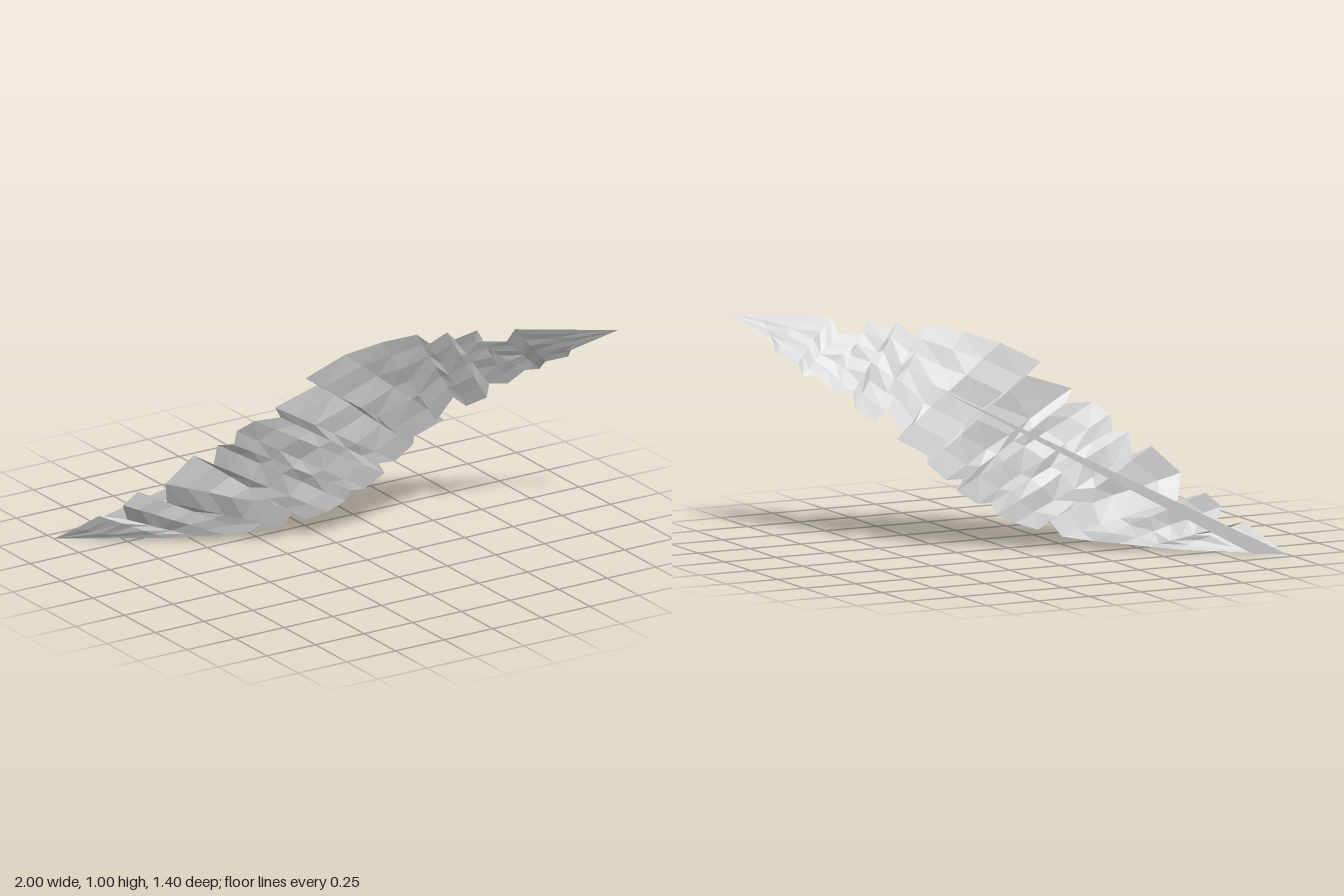
import * as THREE from 'three';

// Ragged vane edges, base to tip, as x, y, z
const UPPER = [
  [-1, 0, -.7], [-.94, .06, -.62], [-.87, .13, -.54], [-.75, .1, -.5], [-.8, .19, -.46], [-.74, .25, -.43],
  [-.65, .21, -.34], [-.69, .32, -.29], [-.57, .44, -.25], [-.5, .4, -.2], [-.5, .5, -.17], [-.44, .5, -.13],
  [-.44, .57, -.11], [-.38, .62, -.06], [-.26, .62, -.04], [-.3, .68, -.02], [-.09, .75, 0], [-.17, .8, .02],
  [0, .89, .07], [.15, .94, .14], [.28, .97, .21], [.34, .92, .22], [.39, .98, .28], [.43, .94, .28],
  [.5, .99, .35], [.5, .93, .33], [.62, .93, .4], [.63, 1, .45], [.75, 1, .53], [.88, 1, .62], [1, 1, .7],
];
const LOWER = [
  [-1, 0, -.7], [-.74, .007, -.52], [-.6, .01, -.42], [-.5, .02, -.35], [-.4, .03, -.28], [-.3, .04, -.22],
  [-.18, .06, -.16], [-.13, .14, -.12], [-.09, .09, -.11], [0, .12, -.07], [.08, .16, -.05], [.1, .21, -.03],
  [.16, .21, -.02], [.25, .27, 0], [.22, .32, 0], [.3, .32, .01], [.37, .39, .04], [.37, .43, .05],
  [.49, .5, .1], [.45, .5, .1], [.5, .62, .16], [.56, .57, .17], [.62, .62, .24], [.62, .69, .26],
  [.69, .69, .3], [.74, .76, .36], [.8, .76, .38], [.8, .81, .43], [.87, .84, .5], [.86, .88, .53], [1, 1, .7],
];

const material = new THREE.MeshStandardMaterial({ color: 0xcccccc, flatShading: true, side: THREE.DoubleSide });

function makeMesh(name, positions, index) {
  const geometry = new THREE.BufferGeometry();
  geometry.setAttribute('position', new THREE.Float32BufferAttribute(positions, 3));
  geometry.setIndex(index);
  geometry.computeVertexNormals();
  const mesh = new THREE.Mesh(geometry, material);
  mesh.name = name;
  return mesh;
}

// Sheet lofted between the two edges, slightly creased across its width
function createVane() {
  const steps = 6, positions = [], index = [];
  UPPER.forEach((up, i) => {
    const low = LOWER[i];
    for (let j = 0; j <= steps; j++) {
      const t = j / steps;
      const p = low.map((v, k) => THREE.MathUtils.lerp(v, up[k], t));
      const width = Math.hypot(up[0] - low[0], up[1] - low[1]);
      p[2] += 0.016 * width * Math.sin(Math.PI * t) * Math.sin(i * 1.9 + j * 2.3);
      positions.push(...p);
      if (i > 0 && j > 0) {
        const a = (i - 1) * (steps + 1) + j - 1, b = a + steps + 1;
        index.push(a, b, b + 1, a, b + 1, a + 1);
      }
    }
  });
  return makeMesh('vane', positions, index);
}

// Long flat sliver behind the vane, tapering into it
function createQuill() {
  return makeMesh('quill', [-1, 0, -.7, -.87, 0, -.62, .3, .71, .08], [0, 2, 1]);
}

export function createModel() {
  const group = new THREE.Group();
  group.name = 'feather';
  group.add(createVane(), createQuill());
  return group;
}
